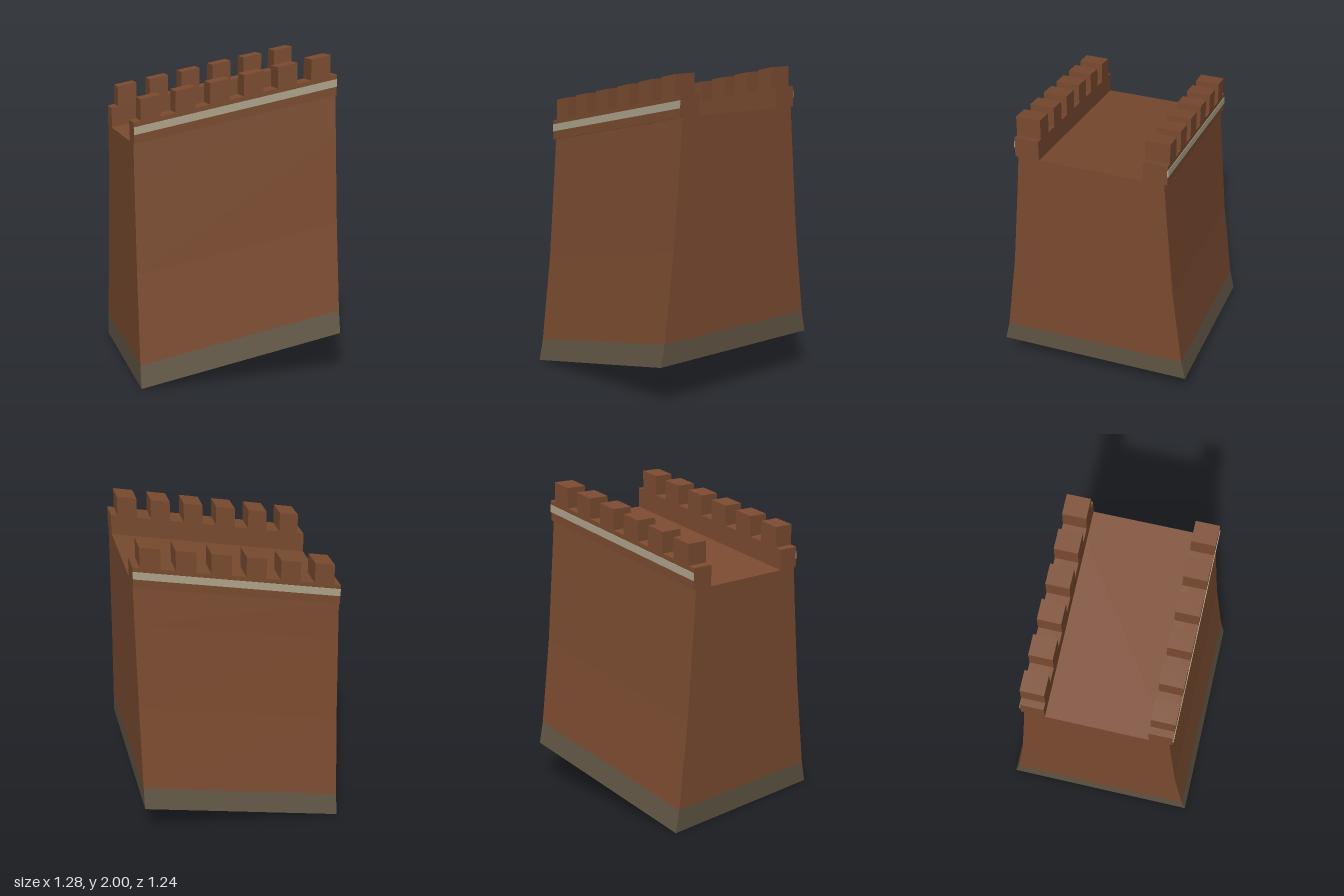
import * as THREE from 'three';

const HALF = 0.64;             // half length along x
const SLOPE = 0.26 / (2 * HALF); // rise of the rampart per unit of x

// Prism with a (z, y) cross-section running from x0 to x1, sheared to follow the slope
function slopedPrism(points, x0, x1) {
  const shape = new THREE.Shape(points.map(([z, y]) => new THREE.Vector2(z, y)));
  const geo = new THREE.ExtrudeGeometry(shape, { depth: x1 - x0, bevelEnabled: false });
  geo.rotateY(-Math.PI / 2);
  geo.translate(x1, 0, 0);
  const pos = geo.attributes.position;
  for (let i = 0; i < pos.count; i++) {
    pos.setY(i, pos.getY(i) + SLOPE * (pos.getX(i) + HALF));
  }
  geo.computeVertexNormals();
  return geo;
}

// Closed symmetric outline from [halfWidth, y] pairs, bottom to top
const mirrored = (pts) => [...pts, ...pts.map(([z, y]) => [-z, y]).reverse()];

// Rectangle on one side of the wall
function sideRect(side, zIn, zOut, y0, y1) {
  const a = Math.min(side * zIn, side * zOut), b = Math.max(side * zIn, side * zOut);
  return [[a, y0], [b, y0], [b, y1], [a, y1]];
}

export function createModel() {
  const group = new THREE.Group();
  const material = (name, color) => {
    const m = new THREE.MeshStandardMaterial({ color });
    m.name = name;
    return m;
  };
  const brick = material('brick brown', 0x7a4b30);
  const stone = material('footing grey brown', 0x605443);
  const trim = material('pale trim', 0xaea48b);

  const add = (name, points, mat, x0 = -HALF, x1 = HALF) => {
    const mesh = new THREE.Mesh(slopedPrism(points, x0, x1), mat);
    mesh.name = name;
    group.add(mesh);
  };

  // Flared footing and tapering wall, whose flat top is the walkway
  add('footing', mirrored([[0.618, 0], [0.588, 0.14]]), stone);
  add('wall', mirrored([[0.588, 0.14], [0.518, 0.69], [0.47, 1.24], [0.45, 1.49]]), brick);

  // Parapet, trim band and battlements on both sides
  for (const [side, label] of [[1, 'front'], [-1, 'back']]) {
    add(label + 'Parapet', sideRect(side, 0.32, 0.469, 1.49, 1.62), brick);
    add(label + 'TrimBand', sideRect(side, 0.466, 0.473, 1.545, 1.592), trim);
    for (let i = 0; i < 6; i++) {
      const x = -0.535 + i * 0.214;
      add(label + 'Merlon' + (i + 1), sideRect(side, 0.32, 0.469, 1.62, 1.75), brick, x - 0.062, x + 0.062);
    }
  }
  return group;
}
